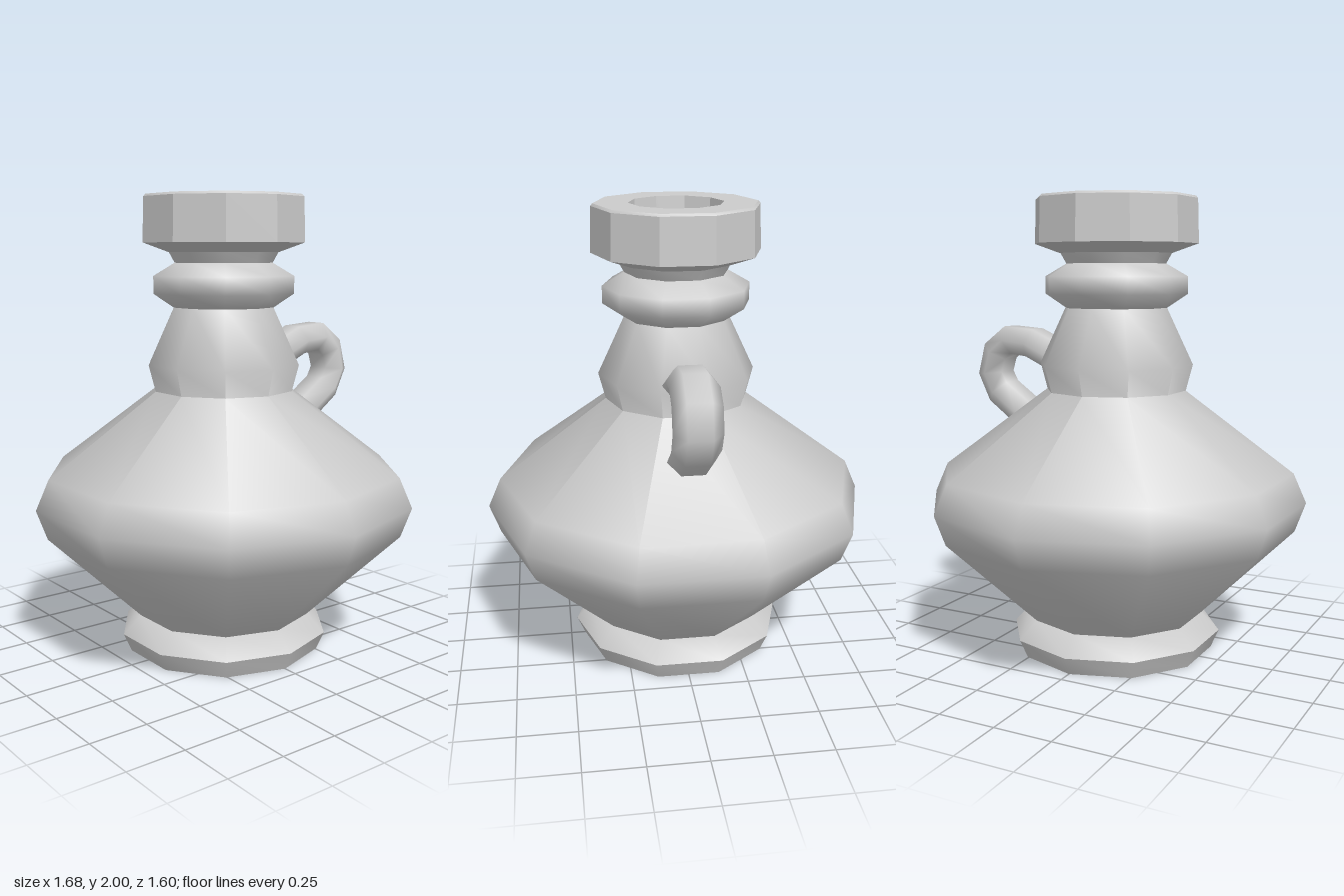
import * as THREE from 'three';
import { toCreasedNormals } from 'three/addons/utils/BufferGeometryUtils.js';

const SIDES = 10;
const material = new THREE.MeshStandardMaterial({ color: 0xcccccc });

// Ten-sided turned part with a corner on the x axis; profile is [radius, y] upward
function turned(name, profile, crease) {
  const points = profile.map(([r, y]) => new THREE.Vector2(r, y));
  const geometry = new THREE.LatheGeometry(points, SIDES, Math.PI / 2);
  const mesh = new THREE.Mesh(toCreasedNormals(geometry, crease), material);
  mesh.name = name;
  return mesh;
}

// Hexagonal tube swept along a [z, y] path in the x = 0 plane
function handle(path, halfWidth, halfThickness) {
  const n = 6;
  const positions = [];
  const index = [];
  path.forEach(([z, y], i) => {
    const [z0, y0] = path[Math.max(i - 1, 0)];
    const [z1, y1] = path[Math.min(i + 1, path.length - 1)];
    const length = Math.hypot(z1 - z0, y1 - y0);
    const tz = (z1 - z0) / length;
    const ty = (y1 - y0) / length;
    for (let j = 0; j < n; j++) {
      const a = (j / n) * Math.PI * 2;
      const s = (Math.sin(a) / Math.sin(Math.PI / 3)) * halfThickness;
      positions.push(Math.cos(a) * halfWidth, y + tz * s, z - ty * s);
      if (i < path.length - 1) {
        const k = i * n + j;
        const l = i * n + ((j + 1) % n);
        index.push(k, l, l + n, k, l + n, k + n);
      }
    }
  });
  const geometry = new THREE.BufferGeometry();
  geometry.setAttribute('position', new THREE.Float32BufferAttribute(positions, 3));
  geometry.setIndex(index);
  geometry.computeVertexNormals();
  const mesh = new THREE.Mesh(geometry, material);
  mesh.name = 'handle';
  return mesh;
}

export function createModel() {
  const group = new THREE.Group();
  group.name = 'jug';

  // Foot ring
  group.add(turned('foot', [[0, 0], [0.435, 0], [0.47, 0.08], [0.39, 0.16], [0.3, 0.16]], 1.1));

  // Wide belly running up into the neck
  group.add(turned('bellyAndNeck', [
    [0.385, 0.155], [0.795, 0.55], [0.842, 0.68], [0.785, 0.81],
    [0.31, 1.165], [0.34, 1.28], [0.225, 1.525],
  ], 1.2));

  // Collar below the rim
  group.add(turned('collar', [
    [0.225, 1.525], [0.315, 1.585], [0.315, 1.66], [0.22, 1.715], [0.248, 1.765],
  ], 1.2));

  // Faceted rim with the tapering mouth
  group.add(turned('rim', [
    [0.2, 1.76], [0.248, 1.76], [0.36, 1.8], [0.354, 1.99], [0.345, 2],
    [0.2, 2], [0.165, 1.6], [0, 1.6],
  ], 0.5));

  // Handle at the back, both ends sunk into the jug
  group.add(handle([
    [-0.25, 1.28], [-0.31, 1.31], [-0.42, 1.36], [-0.535, 1.37],
    [-0.605, 1.315], [-0.632, 1.215], [-0.59, 1.13], [-0.465, 1.04], [-0.4, 0.985],
  ], 0.1, 0.064));

  return group;
}
